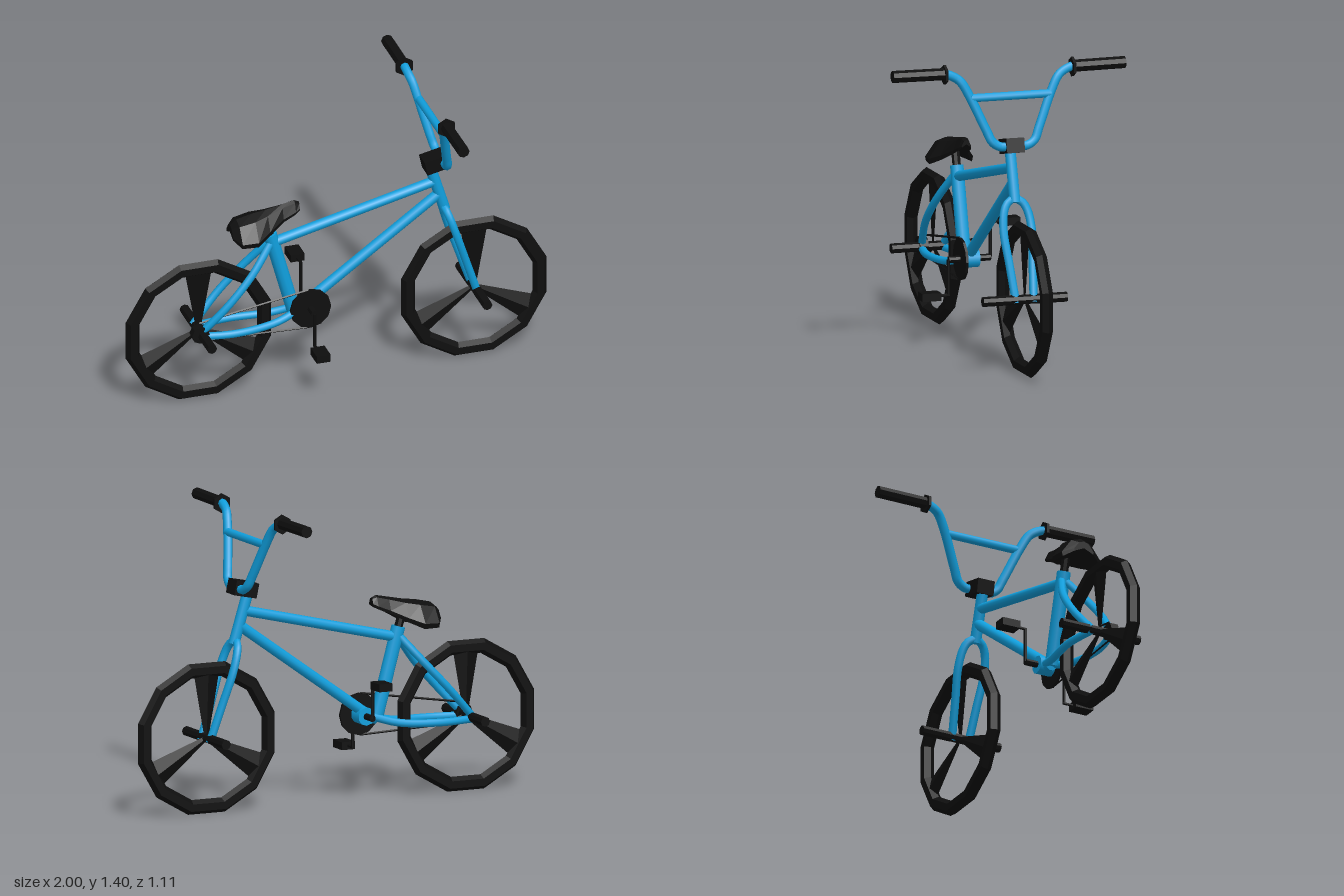
import * as THREE from 'three';

const blue = new THREE.MeshStandardMaterial({ color: 0x109fdd });
blue.name = 'frameBlue';
const black = new THREE.MeshStandardMaterial({ color: 0x0e0e0e });
black.name = 'black';

const V = (x, y, z) => new THREE.Vector3(x, y, z);

// faceted normals
function flat(geo) {
  const g = geo.index ? geo.toNonIndexed() : geo;
  g.computeVertexNormals();
  return g;
}

function add(parent, name, geo, mat) {
  const mesh = new THREE.Mesh(geo, mat);
  mesh.name = name;
  parent.add(mesh);
  return mesh;
}

// straight round bar between two points
function bar(parent, name, a, b, r, mat, sides = 10, r2 = r) {
  const geo = new THREE.CylinderGeometry(r2, r, a.distanceTo(b), sides);
  const mesh = add(parent, name, mat === black ? flat(geo) : geo, mat);
  mesh.position.copy(a).lerp(b, 0.5);
  mesh.quaternion.setFromUnitVectors(V(0, 1, 0), b.clone().sub(a).normalize());
  return mesh;
}

// bent tube through points
function bent(parent, name, pts, r, mat) {
  const curve = new THREE.CatmullRomCurve3(pts.map(p => V(...p)), false, 'centripetal');
  return add(parent, name, new THREE.TubeGeometry(curve, pts.length * 4, r, 8), mat);
}

function box(parent, name, w, h, d, x, y, z, mat) {
  const mesh = add(parent, name, new THREE.BoxGeometry(w, h, d), mat);
  mesh.position.set(x, y, z);
  return mesh;
}

function makeWheel(name, x) {
  const wheel = new THREE.Group();
  wheel.name = name;
  wheel.position.set(x, 0.345, 0);
  const tire = new THREE.TorusGeometry(0.323, 0.0345, 6, 12);
  tire.rotateZ(Math.PI / 12);
  tire.scale(1, 1, 0.85);
  add(wheel, 'tire', flat(tire), black);
  // three wedge spokes
  for (let i = 0; i < 3; i++) {
    const wedge = new THREE.CylinderGeometry(0.063, 0.012, 0.285, 4);
    wedge.scale(1, 1, 0.33);
    wedge.translate(0, 0.1525, 0);
    wedge.rotateZ(i * Math.PI * 2 / 3);
    add(wheel, 'spoke', flat(wedge), black);
  }
  // axle pegs on both sides
  bar(wheel, 'hub', V(0, 0, -0.06), V(0, 0, 0.06), 0.022, black, 8);
  for (const s of [-1, 1]) bar(wheel, 'peg', V(0, 0, s * 0.05), V(0, 0, s * 0.2), 0.023, black, 8);
  return wheel;
}

function makeSaddle() {
  // stations: x, top height, lower edge height, half width
  const stations = [
    [-0.505, 0.855, 0.8, 0.05], [-0.475, 0.88, 0.775, 0.098], [-0.4, 0.897, 0.775, 0.106],
    [-0.335, 0.905, 0.805, 0.07], [-0.26, 0.92, 0.845, 0.036], [-0.2, 0.932, 0.872, 0.03],
    [-0.178, 0.922, 0.888, 0.022]
  ];
  const pos = [], idx = [], n = 8;
  for (const [x, t, e, w] of stations) {
    const h = t - e;
    const ring = [[0, t], [0.5 * w, t - 0.15 * h], [w, e + 0.2 * h], [0.95 * w, e], [0, t - 0.6 * h],
      [-0.95 * w, e], [-w, e + 0.2 * h], [-0.5 * w, t - 0.15 * h]];
    for (const [z, y] of ring) pos.push(x, y, z);
  }
  const last = (stations.length - 1) * n;
  for (let i = 0; i < last; i += n) {
    for (let j = 0; j < n; j++) {
      const a = i + j, b = i + (j + 1) % n;
      idx.push(a, b, a + n, b, b + n, a + n);
    }
  }
  for (let j = 1; j < n - 1; j++) idx.push(0, j + 1, j, last, last + j, last + j + 1);
  const geo = new THREE.BufferGeometry();
  geo.setAttribute('position', new THREE.Float32BufferAttribute(pos, 3));
  geo.setIndex(idx);
  return flat(geo);
}

export function createModel() {
  const bike = new THREE.Group();
  bike.name = 'bicycle';
  bike.add(makeWheel('rearWheel', -0.655), makeWheel('frontWheel', 0.655));

  // main frame
  const frame = new THREE.Group();
  frame.name = 'frame';
  bike.add(frame);
  bar(frame, 'headTube', V(0.517, 0.765, 0), V(0.445, 1.0, 0), 0.026, blue);
  bar(frame, 'topTube', V(-0.31, 0.73, 0), V(0.465, 0.915, 0), 0.024, blue);
  bar(frame, 'downTube', V(-0.14, 0.4, 0), V(0.49, 0.85, 0), 0.025, blue);
  bar(frame, 'seatTube', V(-0.2, 0.36, 0), V(-0.315, 0.78, 0), 0.032, blue);
  bar(frame, 'bracketTube', V(-0.2, 0.37, 0), V(-0.135, 0.385, 0), 0.03, blue);
  bar(frame, 'bottomBracket', V(-0.135, 0.385, -0.04), V(-0.135, 0.385, 0.035), 0.042, blue);
  for (const s of [-1, 1]) {
    bent(frame, 'seatStay', [[-0.665, 0.345, s * 0.05], [-0.54, 0.48, s * 0.075],
      [-0.42, 0.61, s * 0.06], [-0.315, 0.735, s * 0.012]], 0.018, blue);
    bent(frame, 'chainStay', [[-0.67, 0.335, s * 0.05], [-0.5, 0.335, s * 0.075],
      [-0.3, 0.345, s * 0.05], [-0.17, 0.38, s * 0.015]], 0.018, blue);
    bent(frame, 'forkLeg', [[0.507, 0.785, 0], [0.516, 0.765, s * 0.035], [0.528, 0.73, s * 0.055],
      [0.555, 0.645, s * 0.067], [0.605, 0.495, s * 0.055], [0.66, 0.33, s * 0.042]], 0.019, blue);
  }

  // saddle and post
  add(bike, 'saddle', makeSaddle(), black);
  bar(bike, 'seatPost', V(-0.31, 0.76, 0), V(-0.34, 0.86, 0), 0.02, black, 8);

  // handlebar
  const steering = new THREE.Group();
  steering.name = 'handlebar';
  bike.add(steering);
  box(steering, 'stem', 0.115, 0.068, 0.085, 0.472, 1.018, 0, black).rotation.z = 0.21;
  const half = [[0.503, 1.022, 0.03], [0.502, 1.023, 0.065], [0.497, 1.045, 0.1], [0.485, 1.095, 0.124],
    [0.452, 1.245, 0.19], [0.437, 1.315, 0.228], [0.43, 1.335, 0.25], [0.425, 1.357, 0.3], [0.424, 1.358, 0.34]];
  const mirrored = half.map(([x, y, z]) => [x, y, -z]).reverse();
  bent(steering, 'bar', [...mirrored, ...half], 0.021, blue);
  bar(steering, 'crossbar', V(0.455, 1.245, -0.19), V(0.455, 1.245, 0.19), 0.019, blue);
  for (const s of [-1, 1]) {
    bar(steering, 'grip', V(0.425, 1.358, s * 0.3), V(0.425, 1.36, s * 0.553), 0.028, black, 8);
    bar(steering, 'gripFlange', V(0.425, 1.355, s * 0.298), V(0.425, 1.355, s * 0.31), 0.045, black, 6);
  }

  // drivetrain
  const drive = new THREE.Group();
  drive.name = 'drivetrain';
  bike.add(drive);
  bar(drive, 'chainring', V(-0.135, 0.385, 0.035), V(-0.135, 0.385, 0.047), 0.097, black, 12);
  bar(drive, 'rearSprocket', V(-0.665, 0.35, 0.03), V(-0.665, 0.35, 0.07), 0.042, black, 8);
  bar(drive, 'crankAxle', V(-0.135, 0.385, -0.1), V(-0.135, 0.385, 0.1), 0.016, black, 8);
  bar(drive, 'chainTop', V(-0.665, 0.397, 0.041), V(-0.145, 0.48, 0.041), 0.005, black, 4);
  bar(drive, 'chainBottom', V(-0.665, 0.306, 0.041), V(-0.14, 0.289, 0.041), 0.005, black, 4);
  // cranks point opposite ways
  for (const s of [-1, 1]) {
    const y = 0.385 - s * 0.163;
    bar(drive, 'crankArm', V(-0.135, 0.385, s * 0.1), V(-0.135, y, s * 0.1), 0.008, black, 6);
    bar(drive, 'pedalAxle', V(-0.135, y, s * 0.094), V(-0.135, y, s * 0.16), 0.007, black, 6);
    box(drive, 'pedal', 0.066, 0.036, 0.09, -0.135, y, s * 0.188, black);
  }
  return bike;
}
